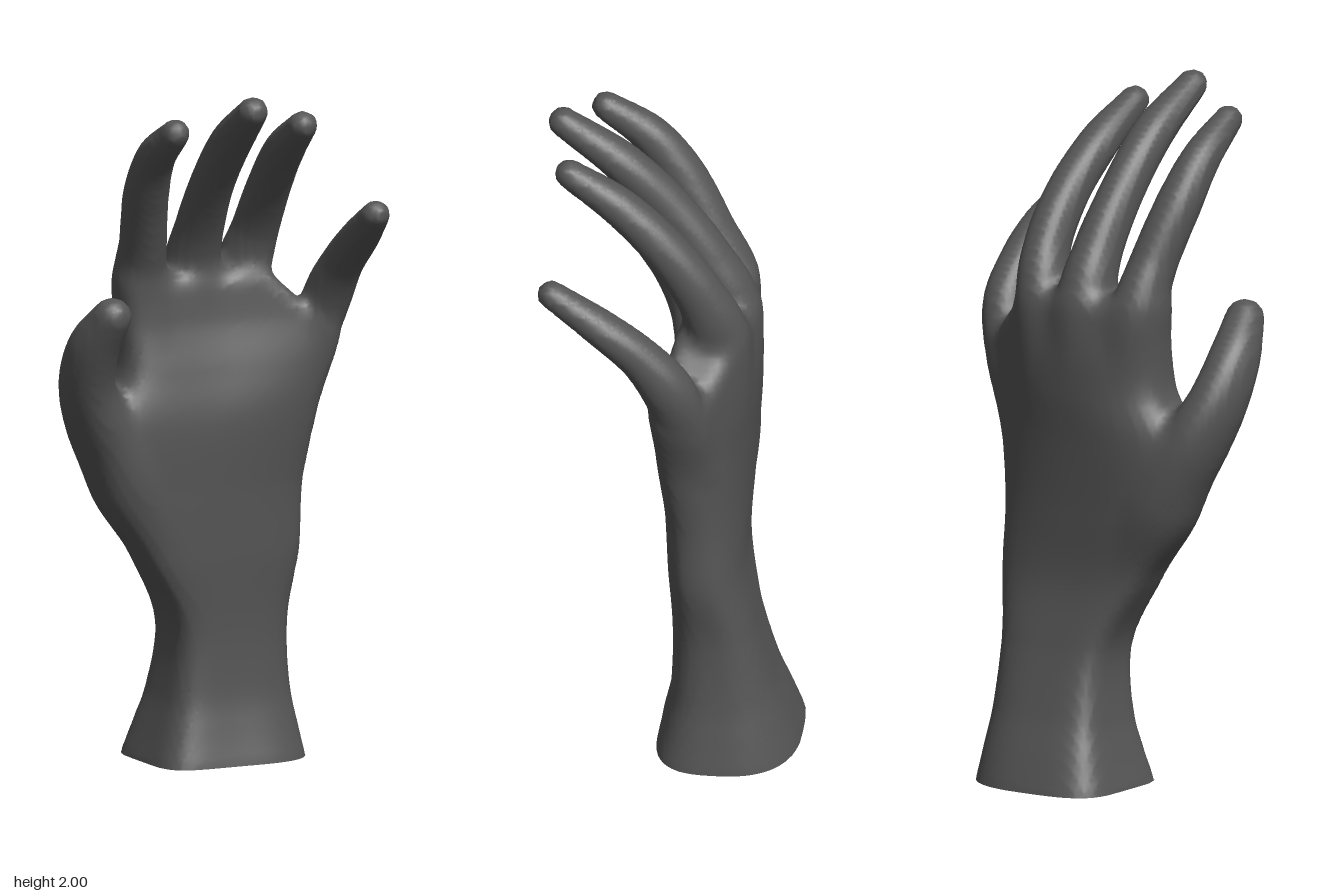
import * as THREE from 'three';

const STEP = 0.0165;                       // sampling distance of the skin
const ORIGIN = [-0.5, -STEP / 2, -0.43];
const COUNT = [62, 125, 52];

// Smooth curve through three chosen columns of a station table
const track = (rows, a, b, c) =>
  new THREE.CatmullRomCurve3(rows.map(r => new THREE.Vector3(r[a], r[b], r[c])));

// Union of two distances with a soft fillet of width k
const blend = (a, b, k) => {
  const h = Math.max(k - Math.abs(a - b), 0) / k;
  return Math.min(a, b) - h * h * k / 4;
};

// Palm and wrist: y, x min, x max, z back, z front, arch toward the little finger
const palmRows = [
  [0, -0.14, 0.34, -0.37, 0.04, 0.03],
  [0.1, -0.11, 0.32, -0.335, 0.018, 0.02],
  [0.2, -0.085, 0.302, -0.297, 0.002, 0.01],
  [0.4, -0.078, 0.292, -0.242, 0, 0],
  [0.6, -0.18, 0.32, -0.21, 0.012, 0.01],
  [0.8, -0.305, 0.325, -0.22, 0.018, 0.03],
  [1.0, -0.32, 0.355, -0.235, 0.022, 0.065],
  [1.15, -0.24, 0.385, -0.245, 0, 0.105],
  [1.28, -0.23, 0.415, -0.245, -0.03, 0.135],
  [1.38, -0.23, 0.42, -0.235, -0.04, 0.135],
  [1.5, -0.23, 0.42, -0.21, -0.06, 0.135]
];
const palmWide = track(palmRows, 0, 1, 2).getPoints(300);
const palmDeep = track(palmRows, 3, 4, 5).getPoints(300);

function palmSection(y) {
  const i = palmWide.findIndex(p => p.x >= y);
  const n = i < 0 ? 300 : Math.max(i, 1);
  const t = THREE.MathUtils.clamp(
    (y - palmWide[n - 1].x) / (palmWide[n].x - palmWide[n - 1].x), 0, 1);
  const w = palmWide[n - 1].clone().lerp(palmWide[n], t);
  const d = palmDeep[n - 1].clone().lerp(palmDeep[n], t);
  // The wrist is squarer than the palm, most of all on the thumb side
  const soft = THREE.MathUtils.smoothstep(y, 0.4, 0.85);
  return { cx: (w.y + w.z) / 2, hw: (w.z - w.y) / 2,
    cz: (d.x + d.y) / 2, hz: (d.y - d.x) / 2, arch: d.z,
    thumbSide: 4.6 - 1.5 * soft, outerSide: 2.7 - 0.3 * soft };
}

function palmDistance(x, y, z, s) {
  const px = (x - s.cx) / s.hw;
  const lean = THREE.MathUtils.clamp((px + 0.35) / 1.35, -0.6, 1.15);
  const X = Math.abs(px) + 1e-6;
  const Z = Math.abs(z - s.cz - s.arch * lean * lean) / s.hz + 1e-6;
  const n = px < 0 ? s.thumbSide : s.outerSide;
  const k = Math.pow(X ** n + Z ** n, 1 / n);
  const slope = Math.hypot(X ** (n - 1) / s.hw, Z ** (n - 1) / s.hz) * k ** (1 - n);
  // The top edge drops below the little finger
  const top = y - 1.425 + Math.max(0, x - 0.2);
  return -blend(-(k - 1) / slope, -top, 0.05);
}

// Fingers: x, y, z, half width, half thickness
const fingerRows = {
  thumb: [
    [-0.14, 0.68, -0.1, 0.05, 0.08], [-0.23, 0.85, -0.1, 0.095, 0.115],
    [-0.31, 1.0, -0.085, 0.091, 0.115], [-0.368, 1.13, -0.045, 0.078, 0.099],
    [-0.382, 1.25, 0.02, 0.071, 0.081], [-0.364, 1.352, 0.1, 0.056, 0.056]
  ],
  index: [
    [-0.13, 1.2, -0.125, 0.06, 0.07], [-0.155, 1.38, -0.135, 0.074, 0.085],
    [-0.172, 1.52, -0.08, 0.067, 0.074], [-0.203, 1.68, 0, 0.065, 0.068],
    [-0.219, 1.8, 0.09, 0.056, 0.058], [-0.224, 1.893, 0.222, 0.041, 0.042]
  ],
  middle: [
    [0.015, 1.2, -0.14, 0.06, 0.075], [0.015, 1.4, -0.148, 0.08, 0.09],
    [0.012, 1.54, -0.09, 0.069, 0.076], [0, 1.7, 0.02, 0.062, 0.067],
    [-0.01, 1.84, 0.155, 0.061, 0.059], [-0.03, 1.957, 0.328, 0.044, 0.043]
  ],
  ring: [
    [0.15, 1.2, -0.13, 0.06, 0.075], [0.172, 1.4, -0.13, 0.075, 0.088],
    [0.19, 1.53, -0.085, 0.066, 0.073], [0.185, 1.67, 0.01, 0.063, 0.065],
    [0.165, 1.8, 0.145, 0.059, 0.057], [0.147, 1.897, 0.295, 0.042, 0.042]
  ],
  little: [
    [0.3, 1.0, -0.07, 0.03, 0.05], [0.348, 1.18, -0.045, 0.06, 0.075],
    [0.379, 1.32, -0.012, 0.067, 0.077], [0.388, 1.435, 0.068, 0.061, 0.063],
    [0.386, 1.53, 0.18, 0.058, 0.054], [0.364, 1.625, 0.327, 0.042, 0.04]
  ]
};

// A finger is a dense chain of ellipsoids along its curve
function fingerBeads(rows) {
  const path = track(rows, 0, 1, 2), size = track(rows, 3, 4, 4);
  return Array.from({ length: 73 }, (_, i) => {
    const t = path.getTangent(i / 72), s = size.getPoint(i / 72);
    const u = new THREE.Vector3(1, 0, 0).addScaledVector(t, -t.x).normalize();
    return { c: path.getPoint(i / 72), u, w: s.x, h: s.y };
  });
}

function fingerDistance(x, y, z, beads) {
  let best = 0.2;
  for (const { c, u, w, h } of beads) {
    const dx = x - c.x, dy = y - c.y, dz = z - c.z;
    if (Math.abs(dy) > 0.3) continue;
    const a = dx * u.x + dy * u.y + dz * u.z;
    const rest = dx * dx + dy * dy + dz * dz - a * a;
    best = Math.min(best, (Math.sqrt(a * a / (w * w) + rest / (h * h)) - 1) * h);
  }
  return best;
}

// One seamless skin over the distance field, left open at the wrist
function skin(name, field) {
  const [nx, ny, nz] = COUNT;
  const stride = [1, nx, nx * ny];
  const cellOf = new Int32Array(nx * ny * nz).fill(-1);
  const offsets = Array.from({ length: 8 }, (_, c) => [c & 1, c >> 1 & 1, c >> 2]);
  const pos = [], index = [];
  for (let k = 0; k < nz - 1; k++) for (let j = 0; j < ny - 1; j++) for (let i = 0; i < nx - 1; i++) {
    const cell = [i, j, k], id = i + j * nx + k * nx * ny;
    const value = offsets.map(o => field[id + o[0] + o[1] * stride[1] + o[2] * stride[2]]);
    // Vertex at the mean of the crossed cell edges
    const sum = [0, 0, 0];
    let hits = 0;
    for (let a = 0; a < 8; a++) for (const bit of [1, 2, 4]) {
      const b = a | bit;
      if (b === a || value[a] < 0 === value[b] < 0) continue;
      const t = value[a] / (value[a] - value[b]);
      for (let m = 0; m < 3; m++) sum[m] += offsets[a][m] + t * (offsets[b][m] - offsets[a][m]);
      hits++;
    }
    if (!hits) continue;
    cellOf[id] = pos.length / 3;
    const p = cell.map((n, m) => ORIGIN[m] + STEP * (n + sum[m] / hits));
    pos.push(p[0], j === 0 ? 0 : p[1], p[2]);
    // One quad around each crossed grid edge
    for (let a = 0; a < 3; a++) {
      const b = (a + 1) % 3, c = (a + 2) % 3;
      const inside = value[0] < 0;
      if (!cell[b] || !cell[c] || inside === value[1 << a] < 0) continue;
      const q = [id - stride[b] - stride[c], id - stride[c], id, id - stride[b]].map(n => cellOf[n]);
      if (!inside) q.reverse();
      index.push(q[0], q[1], q[2], q[0], q[2], q[3]);
    }
  }
  const geo = new THREE.BufferGeometry();
  geo.setAttribute('position', new THREE.Float32BufferAttribute(pos, 3));
  geo.setIndex(index);
  geo.computeVertexNormals();
  const mesh = new THREE.Mesh(geo,
    new THREE.MeshStandardMaterial({ color: 0x555555, side: THREE.DoubleSide }));
  mesh.name = name;
  return mesh;
}

export function createModel() {
  const fingers = Object.values(fingerRows).map(fingerBeads);
  const [nx, ny, nz] = COUNT;
  const field = new Float32Array(nx * ny * nz);
  for (let j = 0; j < ny; j++) {
    const y = ORIGIN[1] + j * STEP, section = palmSection(y);
    for (let k = 0; k < nz; k++) for (let i = 0; i < nx; i++) {
      const x = ORIGIN[0] + i * STEP, z = ORIGIN[2] + k * STEP;
      const digits = fingers.reduce((d, f) => blend(d, fingerDistance(x, y, z, f), 0.015), 1);
      field[i + j * nx + k * nx * ny] = blend(digits, palmDistance(x, y, z, section), 0.038);
    }
  }
  const hand = new THREE.Group();
  hand.name = 'hand';
  hand.add(skin('handSkin', field));
  return hand;
}
